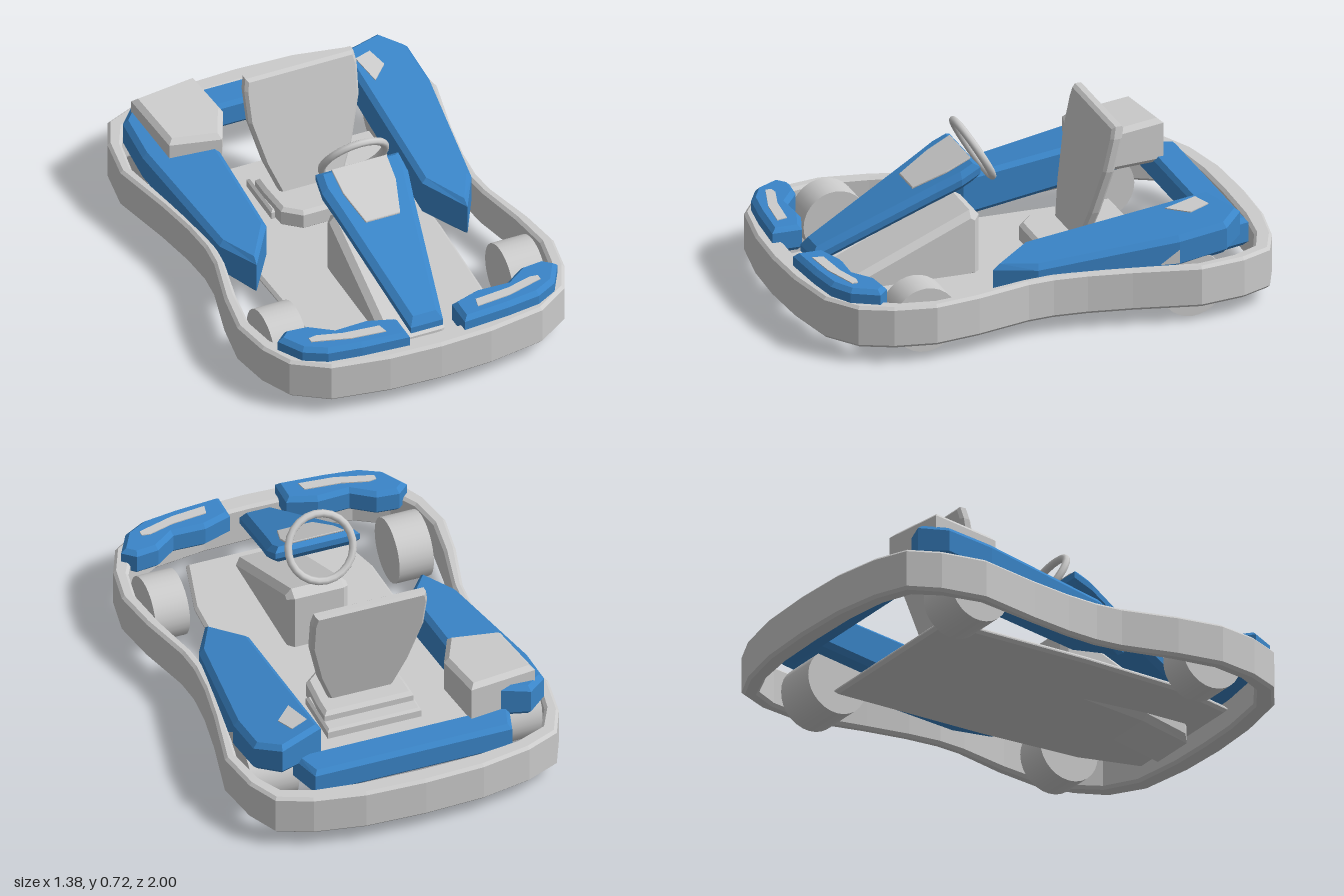
import * as THREE from 'three';

const blue = new THREE.MeshStandardMaterial({ color: 0x3a85c8 });
blue.name = 'blue plastic';
const grey = new THREE.MeshStandardMaterial({ color: 0xcccccc });
grey.name = 'light grey';
const greyThin = new THREE.MeshStandardMaterial({ color: 0xcccccc, side: THREE.DoubleSide });
greyThin.name = 'light grey sheet';

const toShape = (pts) => new THREE.Shape(pts.map(([x, y]) => new THREE.Vector2(x, y)));
const plan = (pts) => pts.map(([x, z]) => [x, -z]);
const flip = (pts, s) => pts.map(([x, z]) => [x * s, z]);

// Full outline from one side, given from front to back
const both = (pts) => [...pts, ...flip(pts, -1).reverse()].filter(
  ([x], i) => !(x === 0 && i >= pts.length));

function addMesh(group, name, geometry, material) {
  const mesh = new THREE.Mesh(geometry, material);
  mesh.name = name;
  group.add(mesh);
  return mesh;
}

function bevelled(shape, depth, b) {
  return new THREE.ExtrudeGeometry(shape, {
    depth: depth - 2 * b, steps: 1, curveSegments: 4, bevelEnabled: b > 0,
    bevelThickness: b, bevelSize: b, bevelOffset: -b, bevelSegments: 1,
  });
}

// Bevelled slab from a plan outline [x, z]; bottom and top heights are functions of x and z
function slab(pts, b, bottom, top, hole) {
  const shape = toShape(plan(pts));
  if (hole) shape.holes.push(toShape(plan(hole)));
  const h = 1;
  const geo = bevelled(shape, h, b).rotateX(-Math.PI / 2);
  const p = geo.attributes.position;
  for (let i = 0; i < p.count; i++) {
    const x = p.getX(i), y = p.getY(i) + b, z = p.getZ(i);
    p.setY(i, y < h / 2 ? bottom(x, z) + y : top(x, z) - (h - y));
  }
  geo.computeVertexNormals();
  return geo;
}
const at = (y) => () => y;

export function createModel() {
  const kart = new THREE.Group();
  kart.name = 'kart';

  // Bumper ring all the way round
  const outer = both([[0, 0.995], [0.22, 0.985], [0.46, 0.945], [0.6, 0.85], [0.66, 0.72], [0.69, 0.55],
    [0.66, 0.36], [0.6, 0.13], [0.59, 0.02], [0.6, -0.12], [0.63, -0.3], [0.69, -0.57], [0.66, -0.76],
    [0.6, -0.89], [0.46, -0.95], [0.25, -0.99], [0, -1]]);
  const inner = both([[0, 0.905], [0.2, 0.9], [0.42, 0.87], [0.55, 0.79], [0.61, 0.68], [0.635, 0.54],
    [0.61, 0.36], [0.56, 0.14], [0.548, 0.02], [0.56, -0.12], [0.59, -0.3], [0.64, -0.57], [0.61, -0.73],
    [0.555, -0.835], [0.43, -0.885], [0.24, -0.91], [0, -0.915]]);
  addMesh(kart, 'bumperRing', slab(outer, 0.012, at(0.065), at(0.24), inner), grey);

  // Floor pan
  const floor = both([[0.31, 0.82], [0.38, 0.55], [0.4, 0.1], [0.4, -0.58]]);
  addMesh(kart, 'floorPan', slab(floor, 0.012, at(0.07), at(0.1)), grey);

  // Pedal box under the nose, drawn as a side profile [z, y]
  const pedalGeo = bevelled(toShape([[0.76, 0], [0.76, 0.12], [0.2, 0.365], [0.16, 0.34], [0.16, 0.08], [0.55, 0.045]]), 0.26, 0.025);
  pedalGeo.translate(0, 0, 0.025 - 0.13).rotateY(-Math.PI / 2);
  addMesh(kart, 'pedalBox', pedalGeo, grey);

  // Sloping nose panel with its plate
  const noseTop = (x, z) => 0.595 - 0.5 * (z - 0.19);
  const nose = both([[0.07, 0.85], [0.165, 0.36], [0.187, 0.26], [0.18, 0.18]]);
  addMesh(kart, 'nosePanel', slab(nose, 0.024, (x, z) => noseTop(x, z) - 0.075, noseTop), blue);
  const plate = both([[0.075, 0.43], [0.115, 0.3], [0.12, 0.2]]);
  addMesh(kart, 'nosePlate', slab(plate, 0.002, noseTop, (x, z) => noseTop(x, z) + 0.009), grey);

  // Steering wheel
  const wheel = addMesh(kart, 'steeringWheel', new THREE.TorusGeometry(0.136, 0.016, 8, 24), grey);
  wheel.position.set(0, 0.582, 0.147);
  wheel.rotation.x = 0.52;

  // Seat: base, cushion and leaning backrest
  addMesh(kart, 'seatBase', slab(both([[0.2, -0.2], [0.2, -0.44]]), 0.01, at(0.09), at(0.14)), grey);
  const cushion = both([[0.11, -0.09], [0.18, -0.15], [0.19, -0.3], [0.19, -0.38]]);
  addMesh(kart, 'seatCushion', slab(cushion, 0.015, at(0.09), at(0.18)), grey);
  const backGeo = bevelled(toShape(both([[0.235, 0.69], [0.245, 0.64], [0.24, 0.5], [0.19, 0.31], [0.13, 0.16]])), 0.05, 0.012);
  const bp = backGeo.attributes.position;
  for (let i = 0; i < bp.count; i++) {
    bp.setZ(i, bp.getZ(i) - 0.398 + (0.69 - bp.getY(i)) * 0.22);
  }
  backGeo.computeVertexNormals();
  addMesh(kart, 'seatBackrest', backGeo, grey);

  // Rear bar
  const rear = both([[0.46, -0.725], [0.42, -0.865]]);
  addMesh(kart, 'rearBar', slab(rear, 0.018, at(0.18), at(0.298)), blue);

  // Paired side pods, front fairings and wheels
  const podTop = (x, z) => 0.3 + (0.115 - z) * 0.138 - 0.12 * (Math.abs(x) - 0.34);
  const podBottom = (x, z) => 0.1 + (0.24 - z) * 0.16;
  const pod = [[0.34, -0.72], [0.53, -0.79], [0.62, -0.7], [0.625, -0.5], [0.55, 0.07], [0.46, 0.23], [0.34, 0.06]];
  const fairing = [[0.12, 0.825], [0.24, 0.785], [0.375, 0.79], [0.465, 0.725], [0.56, 0.715], [0.61, 0.76],
    [0.55, 0.865], [0.46, 0.915], [0.32, 0.935], [0.12, 0.95]];
  const strip = [[0.21, 0.855], [0.36, 0.84], [0.465, 0.81], [0.5, 0.815], [0.5, 0.84], [0.345, 0.885], [0.2, 0.9]];
  for (const s of [1, -1]) {
    const side = s > 0 ? 'left' : 'right';
    addMesh(kart, side + 'SidePod', slab(flip(pod, s), 0.02, podBottom, podTop), blue);
    addMesh(kart, side + 'FrontFairing', slab(flip(fairing, s), 0.018, at(0.19), at(0.298)), blue);
    addMesh(kart, side + 'FairingStrip', slab(flip(strip, s), 0, at(0.296), at(0.302)), grey);
    for (const [end, x, z, w] of [['Front', 0.52, 0.562, 0.146], ['Rear', 0.52, -0.555, 0.2]]) {
      const tyre = addMesh(kart, side + end + 'Wheel', new THREE.CylinderGeometry(0.136, 0.136, w, 28), grey);
      tyre.rotation.z = Math.PI / 2;
      tyre.position.set(s * x, 0.138, z);
    }
  }

  // Painted marks on the left pod
  const mark = [[0.375, -0.655], [0.45, -0.685], [0.475, -0.6], [0.4, -0.52]];
  addMesh(kart, 'podTopMark', slab(mark, 0, podTop, (x, z) => podTop(x, z) + 0.004), grey);
  const wallX = (z) => 0.628 - (z + 0.5) * 0.1316;
  const sideMark = new THREE.BufferGeometry().setFromPoints(
    [[-0.42, 0.24], [-0.5, 0.24], [-0.5, 0.3]].map(([z, y]) => new THREE.Vector3(wallX(z), y, z)));
  sideMark.computeVertexNormals();
  addMesh(kart, 'podSideMark', sideMark, greyThin);

  // Engine on the right pod
  const engine = [[-0.57, -0.73], [-0.285, -0.765], [-0.258, -0.535], [-0.33, -0.385], [-0.54, -0.43]];
  addMesh(kart, 'engine', slab(engine, 0.02, at(0.27), (x, z) => 0.43 - (z + 0.385) * 0.08), grey);

  return kart;
}
